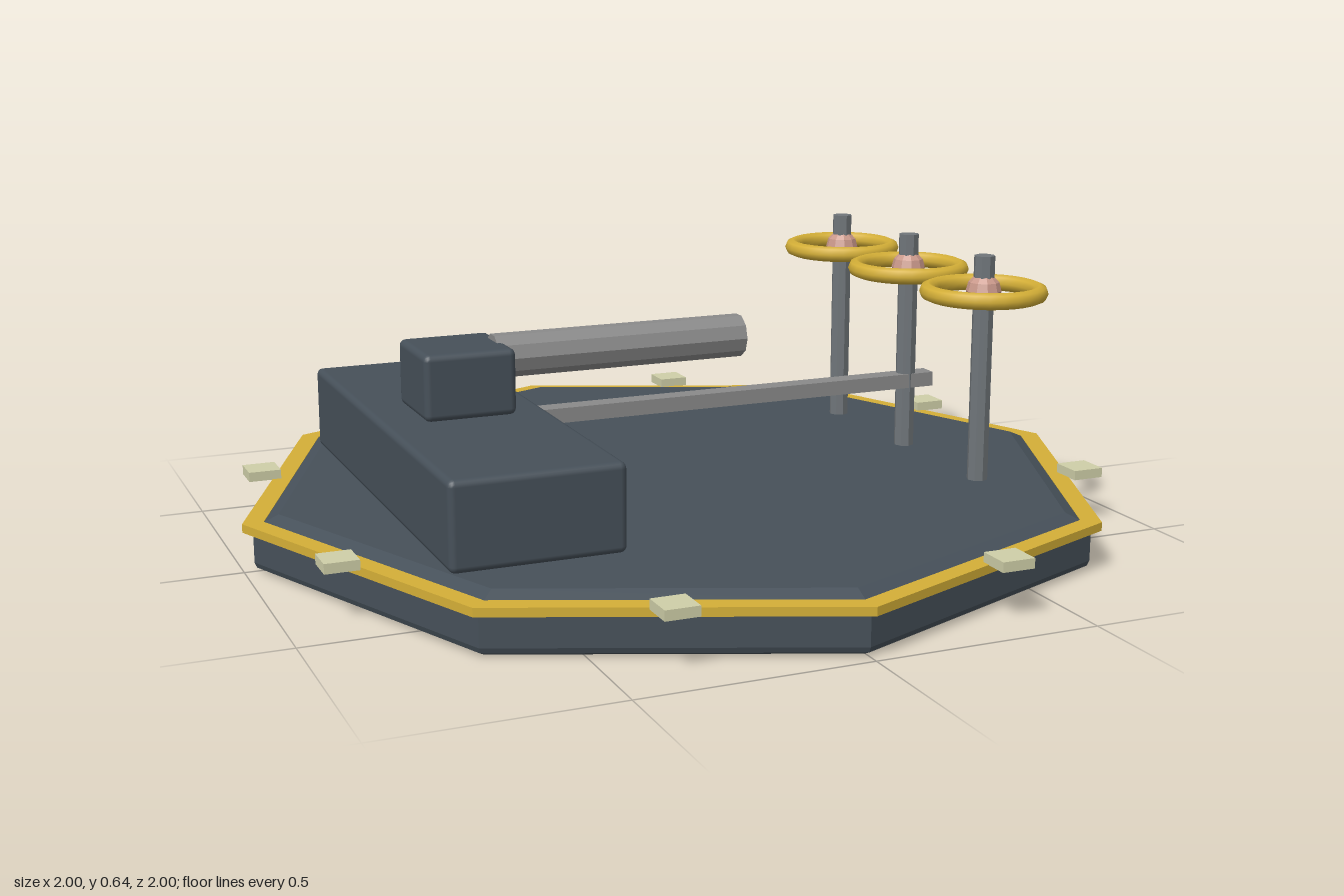
import * as THREE from 'three';
import { RoundedBoxGeometry } from 'three/addons/geometries/RoundedBoxGeometry.js';

const mat = (name, color) => {
  const m = new THREE.MeshStandardMaterial({ color });
  m.name = name;
  return m;
};

// Faceted copy of a geometry
const faceted = (geometry) => {
  const g = geometry.toNonIndexed();
  g.computeVertexNormals();
  return g;
};

export function createModel() {
  const slate = mat('slate', 0x465059);
  const gold = mat('gold', 0xd4af37);
  const steel = mat('steel', 0x70767a);
  const grey = mat('grey', 0x8a8a8a);
  const copper = mat('copper', 0xc9988a);
  const cream = mat('cream', 0xcfcfa8);

  const model = new THREE.Group();
  const add = (name, geometry, material, x = 0, y = 0, z = 0, parent = model) => {
    const mesh = new THREE.Mesh(geometry, material);
    mesh.name = name;
    mesh.position.set(x, y, z);
    parent.add(mesh);
    return mesh;
  };
  // Octagonal solid with corners on the axes, from a radius/height profile
  const octagon = (profile) =>
    faceted(new THREE.LatheGeometry(profile.map(([r, y]) => new THREE.Vector2(r, y)), 8));

  // Platform with chamfered edges
  add('platform', octagon([
    [0, 0], [0.955, 0], [0.972, 0.008], [0.977, 0.02], [0.977, 0.095],
    [0.955, 0.107], [0.92, 0.122], [0, 0.122],
  ]), slate);

  // Gold edging round the platform
  add('rim', octagon([
    [0.953, 0.09], [1, 0.09], [1, 0.109], [0.953, 0.109], [0.953, 0.09],
  ]), gold);

  // One square lamp in the middle of each edge
  for (let i = 0; i < 8; i++) {
    const a = Math.PI / 8 + (i * Math.PI) / 4;
    add('edgeLamp', new THREE.BoxGeometry(0.074, 0.022, 0.074), cream,
      0.953 * Math.cos(a), 0.119, 0.953 * Math.sin(a));
  }

  // Housing, upper block, barrel and rail
  add('housing', new RoundedBoxGeometry(0.376, 0.192, 1.1, 2, 0.015), slate, -0.514, 0.218, 0);
  add('upperBlock', new RoundedBoxGeometry(0.208, 0.148, 0.208, 2, 0.015), slate, -0.512, 0.391, 0);
  const barrel = add('barrel', faceted(new THREE.CylinderGeometry(0.05, 0.05, 0.6, 10)), grey, -0.13, 0.43, 0);
  barrel.rotation.z = -Math.PI / 2;
  add('rail', new THREE.BoxGeometry(1.04, 0.034, 0.046), grey, 0.16, 0.284, 0);

  // Three posts with handwheels
  for (const z of [-0.342, 0, 0.342]) {
    const valve = new THREE.Group();
    valve.name = 'valve';
    valve.position.set(0.617, 0, z);
    model.add(valve);
    add('post', faceted(new THREE.CylinderGeometry(0.024, 0.024, 0.525, 8)), steel, 0, 0.3775, 0, valve);
    add('hub', faceted(new THREE.SphereGeometry(0.04, 10, 6)), copper, 0, 0.56, 0, valve);
    const wheel = add('handwheel', new THREE.TorusGeometry(0.125, 0.019, 8, 28), gold, 0, 0.558, 0, valve);
    wheel.rotation.x = Math.PI / 2;
  }

  return model;
}
